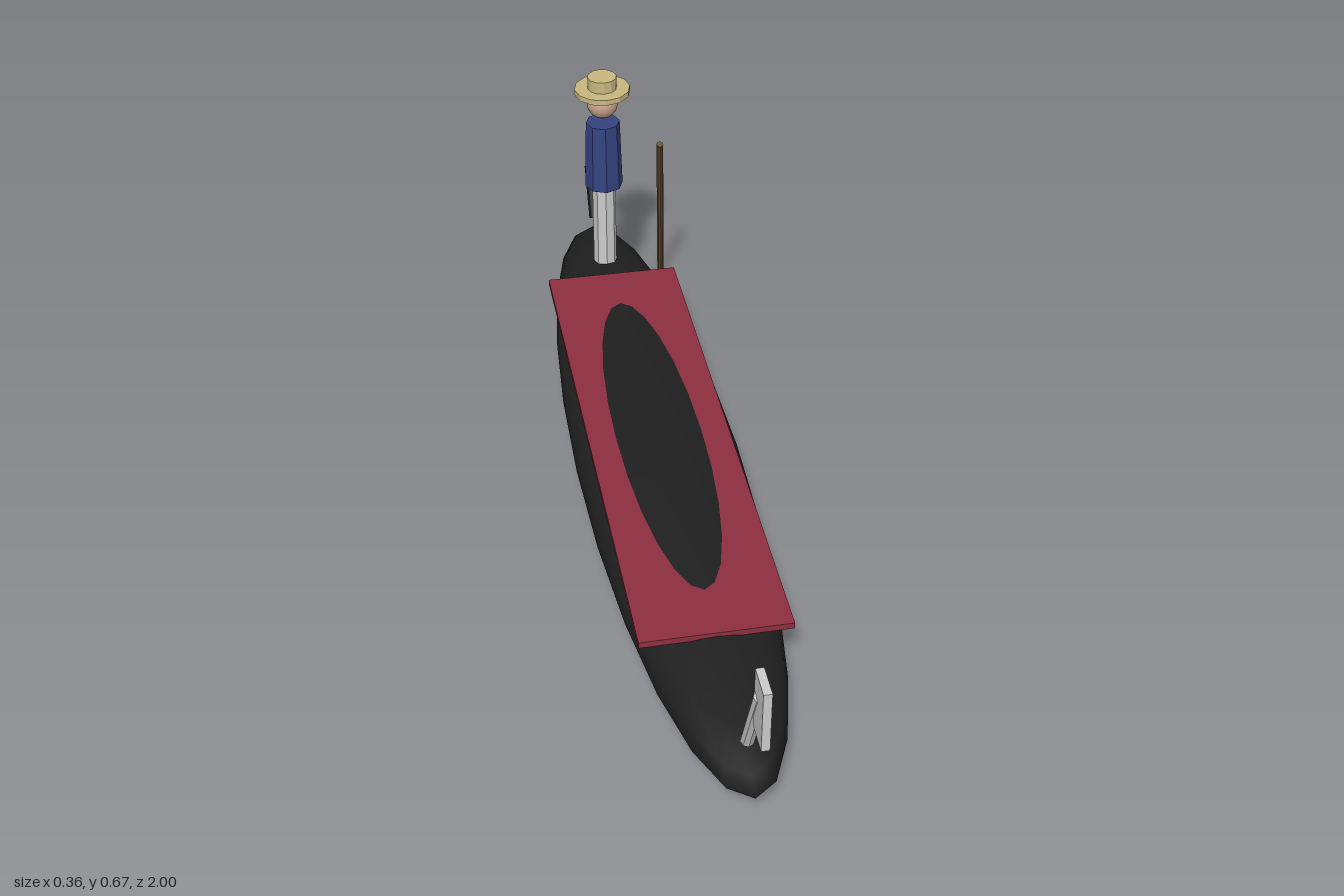
import * as THREE from 'three';

const mat = (color, extra = {}) => new THREE.MeshStandardMaterial({ color, ...extra });
const faceted = { flatShading: true };

export function createModel() {
  const model = new THREE.Group();
  const black = mat(0x1f1f1f, { side: THREE.DoubleSide });
  const grey = mat(0xcccccc, faceted);
  const straw = mat(0xc8b880, faceted);

  function add(parent, name, geometry, material, x = 0, y = 0, z = 0) {
    const mesh = new THREE.Mesh(geometry, material);
    mesh.name = name;
    mesh.position.set(x, y, z);
    parent.add(mesh);
    return mesh;
  }

  // Straight rod between two points
  function rod(name, from, to, radius, material) {
    const a = new THREE.Vector3(...from), b = new THREE.Vector3(...to);
    const dir = b.clone().sub(a);
    const mesh = add(model, name, new THREE.CylinderGeometry(radius, radius, dir.length(), 8), material);
    mesh.position.copy(a).add(b).multiplyScalar(0.5);
    mesh.quaternion.setFromUnitVectors(new THREE.Vector3(0, 1, 0), dir.normalize());
  }

  // Hull: stretched sphere, cut open below
  const hull = new THREE.SphereGeometry(1, 24, 8, 0, Math.PI * 2, 0, Math.PI * 2 / 3);
  hull.scale(0.18, 0.095, 0.97);
  add(model, 'hull', hull, black, 0, 0.103, -0.025);

  // Deck carpet; the crown of the hull rises through it
  add(model, 'deckPanel', new THREE.BoxGeometry(0.305, 0.014, 1.255), mat(0x8e2f3f), 0, 0.177, -0.0275);

  // Bow ornament
  rod('bowStem', [0, 0.173, 0.868], [0, 0.37, 0.952], 0.0135, grey);
  add(model, 'bowBlade', new THREE.BoxGeometry(0.016, 0.137, 0.064), grey, 0, 0.354, 0.968);

  // Stern post
  rod('sternPost', [0, 0.18, -0.92], [0, 0.294, -0.984], 0.0135, mat(0x1f1f1f, faceted));

  // Standing oarsman, z = -0.75
  const oarsman = new THREE.Group();
  oarsman.name = 'oarsman';
  oarsman.position.z = -0.75;
  model.add(oarsman);
  add(oarsman, 'legs', new THREE.CylinderGeometry(0.028, 0.028, 0.215, 8), grey, 0, 0.2725);
  add(oarsman, 'shirt', new THREE.CylinderGeometry(0.04, 0.045, 0.168, 8), mat(0x34437f, faceted), 0, 0.464);
  add(oarsman, 'head', new THREE.SphereGeometry(0.036, 16, 12), mat(0xc8a28c), 0, 0.597);
  add(oarsman, 'hatBrim', new THREE.CylinderGeometry(0.065, 0.065, 0.013, 12), straw, 0, 0.631);
  add(oarsman, 'hatCrown', new THREE.CylinderGeometry(0.034, 0.034, 0.03, 12), straw, 0, 0.651);

  // Oar reaching down beside the hull
  rod('oar', [0.167, 0.004, -0.915], [0.125, 0.507, -0.692], 0.008, mat(0x6b5030, faceted));

  return model;
}
